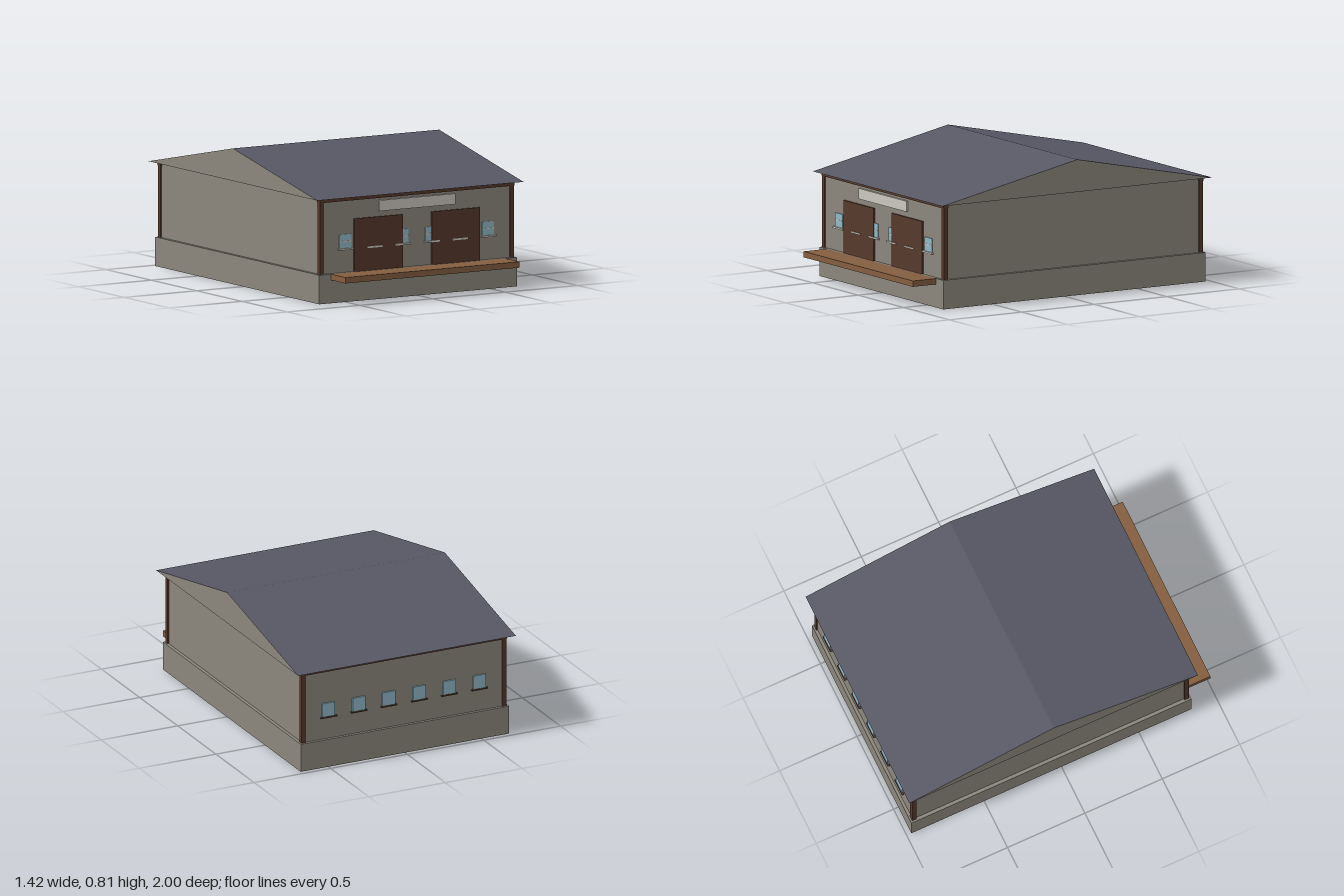
import * as THREE from 'three';

const mat = (name, color) => {
  const m = new THREE.MeshStandardMaterial({ color });
  m.name = name;
  return m;
};

export function createModel() {
  const stone = mat('stone', 0x8b877c);
  const slate = mat('slate', 0x585865);
  const darkWood = mat('dark wood', 0x56392b);
  const deckWood = mat('deck wood', 0x845e40);
  const glass = mat('glass', 0x8fb8c8);
  const pale = mat('pale trim', 0xcbc7be);

  const model = new THREE.Group();
  model.name = 'warehouse';
  const midZ = -0.065;

  // Box given by its limits on each axis
  const box = (name, material, x0, x1, y0, y1, z0, z1, parent = model) => {
    const mesh = new THREE.Mesh(new THREE.BoxGeometry(x1 - x0, y1 - y0, z1 - z0), material);
    mesh.position.set((x0 + x1) / 2, (y0 + y1) / 2, (z0 + z1) / 2);
    mesh.name = name;
    parent.add(mesh);
    return mesh;
  };

  // Foundation, walls and loading platform
  box('foundation', stone, -0.68, 0.68, 0, 0.172, -0.97, 0.84);
  box('walls', stone, -0.66, 0.66, 0.172, 0.62, -0.952, 0.822);
  box('loadingPlatform', deckWood, -0.6, 0.6, 0.137, 0.172, 0.84, 1.0);

  // Gabled roof: stone gable ends, slate slopes and soffit
  const gable = new THREE.Shape([
    new THREE.Vector2(-0.932, 0.618),
    new THREE.Vector2(0.932, 0.618),
    new THREE.Vector2(0, 0.81),
  ]);
  const roofGeo = new THREE.ExtrudeGeometry(gable, { depth: 1.42, bevelEnabled: false });
  roofGeo.translate(0, 0, -0.71);
  roofGeo.rotateY(Math.PI / 2);
  const roof = new THREE.Mesh(roofGeo, [stone, slate]);
  roof.position.z = midZ;
  roof.name = 'roof';
  model.add(roof);

  // Corner posts and the beams under the eaves
  for (const s of [-1, 1]) {
    const x = s * 0.655;
    for (const z of [0.815, -0.945]) {
      box('cornerPost', darkWood, x - 0.014, x + 0.014, 0.172, 0.618, z - 0.014, z + 0.014);
    }
  }
  box('frontBeam', darkWood, -0.67, 0.67, 0.595, 0.617, 0.80, 0.832);
  box('backBeam', darkWood, -0.67, 0.67, 0.595, 0.617, -0.962, -0.93);

  // Freight doors and blank sign board
  for (const s of [-1, 1]) {
    const x = s * 0.266;
    box('freightDoor', darkWood, x - 0.166, x + 0.166, 0.172, 0.485, 0.815, 0.832);
  }
  box('signBoard', pale, -0.262, 0.262, 0.517, 0.58, 0.82, 0.833);

  // Six windows on each long face
  for (const s of [-1, 1]) {
    for (const d of [0.1, 0.295, 0.492]) {
      const x = s * d;
      box('frontWindow', glass, x - 0.041, x + 0.041, 0.312, 0.397, 0.82, 0.827);
      box('frontSill', pale, x - 0.052, x + 0.052, 0.305, 0.315, 0.82, 0.837);
      if (d !== 0.295) box('frontGlazingBar', pale, x - 0.041, x + 0.041, 0.352, 0.358, 0.822, 0.829);
      box('backWindow', glass, x - 0.041, x + 0.041, 0.312, 0.397, -0.961, -0.95);
      box('backSill', darkWood, x - 0.052, x + 0.052, 0.305, 0.313, -0.966, -0.95);
    }
  }
  return model;
}
